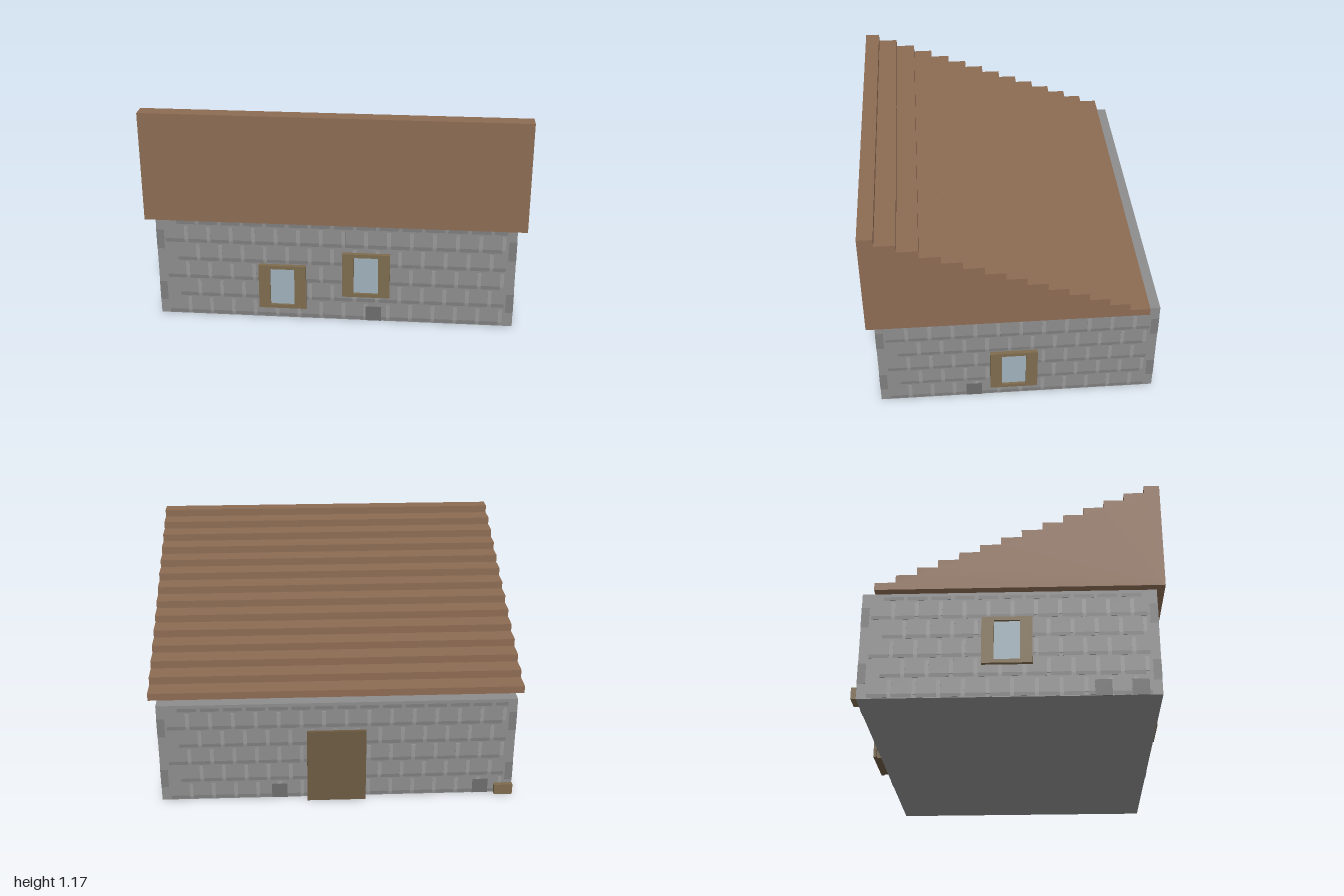
import * as THREE from 'three';
import { mergeGeometries } from 'three/addons/utils/BufferGeometryUtils.js';

const paint = (color) => new THREE.MeshStandardMaterial({ color });
const MAT = {
  stone: paint(0x8c8c8c), stoneDark: paint(0x7c7c7c), stoneLight: paint(0x979797), block: paint(0x6c6c6c),
  roof: paint(0x8b6b53), wood: paint(0x7d6b4e), door: paint(0x6b5a41), glass: paint(0x9fb0ba),
};
const HX = 0.953, HZ = 0.744, H = 0.577; // wall half sizes and height

// Box geometry from min and max corners
function span(x0, x1, y0, y1, z0, z1) {
  return new THREE.BoxGeometry(x1 - x0, y1 - y0, z1 - z0)
    .translate((x0 + x1) / 2, (y0 + y1) / 2, (z0 + z1) / 2);
}

function add(parent, name, geometries, material) {
  const mesh = new THREE.Mesh(mergeGeometries([].concat(geometries)), material);
  mesh.name = name;
  parent.add(mesh);
  return mesh;
}

// A side of the house: local x runs along the wall, local z points out of it
function createSide(name, width, distance, angle) {
  const side = new THREE.Group();
  side.name = name;
  side.rotation.y = angle;
  side.position.set(Math.sin(angle) * distance, 0, Math.cos(angle) * distance);
  const half = width / 2, dark = [], light = [], quoins = [];
  const courses = 5, pitch = 0.107;

  // Dark joints and pale upright joints, staggered by course
  for (let i = 0; i <= courses; i++) {
    const y = i * pitch;
    const shift = (i % 2) * 0.06;
    for (let x = -half + 0.05 + shift; x < half - 0.06; x += 0.12) {
      const end = Math.min(x + 0.1, half - 0.05);
      dark.push(span(x, end, y + 0.004, y + 0.024, 0, 0.001));
      if (i < courses && end < half - 0.07)
        light.push(span(end, end + 0.02, y + 0.02, y + 0.1, 0, 0.0015));
    }
  }
  // Darker corner stones
  for (const s of [-1, 1]) for (const y of [0.08, 0.39]) {
    const a = s * half, b = s * (half - 0.04);
    quoins.push(span(Math.min(a, b), Math.max(a, b), y, y + 0.11, 0, 0.001));
  }
  add(side, 'horizontalJoints', dark, MAT.stoneDark);
  add(side, 'uprightJoints', light, MAT.stoneLight);
  add(side, 'cornerStones', quoins, MAT.stoneDark);
  return side;
}

// Wooden surround with wide sides, thin sill and head, and a recessed pane
function addWindow(side, x, y) {
  const win = new THREE.Group();
  win.name = 'window';
  win.position.set(x, y, 0);
  const o = 0.127, gx = 0.065, gy = 0.107, d = 0.022;
  add(win, 'windowFrame', [
    span(-o, -gx, -o, o, 0, d), span(gx, o, -o, o, 0, d),
    span(-gx, gx, -o, -gy, 0, d), span(-gx, gx, gy, o, 0, d),
  ], MAT.wood);
  add(win, 'windowPane', span(-gx, gx, -gy, gy, 0, 0.008), MAT.glass);
  side.add(win);
}

// Dark stone at the foot of a wall
function addFootStone(side, x) {
  add(side, 'footStone', span(x - 0.042, x + 0.042, 0, 0.085, 0, 0.002), MAT.block);
}

// Stepped single-pitch roof, high at the front
function createRoof() {
  const steps = 14, depth = 0.1065, rise = 0.0425;
  const shape = new THREE.Shape();
  shape.moveTo(-0.785, H);
  let z = 0.785, y = 1.17;
  shape.lineTo(-z, y);
  for (let i = 0; i < steps; i++) {
    z = 0.705 - i * depth;
    shape.lineTo(-z, y);
    y = i < steps - 1 ? y - rise : H;
    shape.lineTo(-z, y);
  }
  const geometry = new THREE.ExtrudeGeometry(shape, { depth: 2, bevelEnabled: false });
  geometry.translate(0, 0, -1).rotateY(Math.PI / 2);
  const roof = new THREE.Mesh(geometry, MAT.roof);
  roof.name = 'steppedRoof';
  return roof;
}

export function createModel() {
  const house = new THREE.Group();
  house.name = 'stoneCottage';

  add(house, 'walls', span(-HX, HX, 0, H, -HZ, HZ), MAT.stone);
  house.add(createRoof());

  const front = createSide('frontSide', 2 * HX, HZ, 0);
  addWindow(front, -0.28, 0.193);
  addWindow(front, 0.168, 0.278);
  addFootStone(front, 0.208);

  const left = createSide('leftSide', 2 * HZ, HX, Math.PI / 2);
  addWindow(left, -0.022, 0.193);
  addFootStone(left, -0.237);

  const right = createSide('rightSide', 2 * HZ, HX, -Math.PI / 2);
  addWindow(right, -0.01, 0.3);
  addFootStone(right, 0.46);
  addFootStone(right, 0.64);

  // Back: local x is mirrored
  const back = createSide('backSide', 2 * HX, HZ, Math.PI);
  addFootStone(back, -0.315);
  addFootStone(back, 0.78);
  add(back, 'doorCore', span(-0.145, 0.13, 0, 0.405, 0, 0.024), MAT.door);
  add(back, 'doorPanel', span(-0.165, 0.15, 0, 0.425, 0.024, 0.041), MAT.door);
  add(back, 'cornerStep', [
    span(0.855, 0.955, 0, 0.03, 0, 0.026), span(0.855, 0.955, 0.03, 0.06, 0, 0.026),
  ], MAT.wood);

  house.add(front, left, right, back);
  return house;
}
